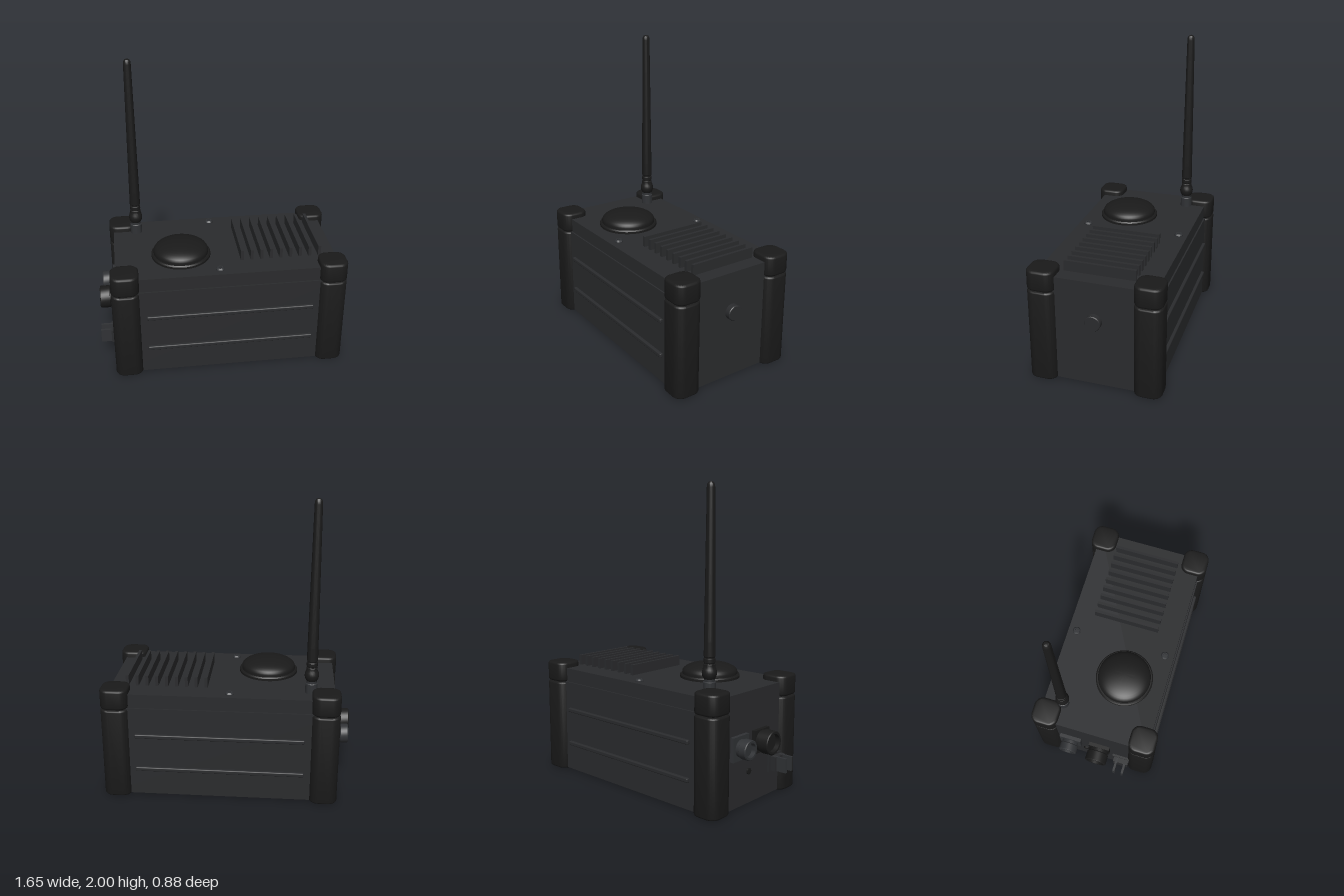
import * as THREE from 'three';
import { toCreasedNormals } from 'three/addons/utils/BufferGeometryUtils.js';
import { RoundedBoxGeometry } from 'three/addons/geometries/RoundedBoxGeometry.js';

const material = (color) => new THREE.MeshStandardMaterial({ color });

export function createModel() {
  const model = new THREE.Group();
  const shell = material(0x2a2b2d), rubber = material(0x1a1a1a), metal = material(0x303235);

  function add(name, geometry, mat, x, y, z, parent = model) {
    const mesh = new THREE.Mesh(geometry, mat);
    mesh.name = name;
    mesh.position.set(x, y, z);
    parent.add(mesh);
    return mesh;
  }
  const box = (w, h, d) => new THREE.BoxGeometry(w, h, d);
  const lathe = (points, segments = 40) => toCreasedNormals(
    new THREE.LatheGeometry(points.map(([r, y]) => new THREE.Vector2(r, y)), segments), 0.6);

  // Upright prism with rounded corners and softened ends, standing on y = 0
  function roundedPost(size, height, radius, bevel) {
    const h = size / 2 - bevel, r = radius - bevel;
    const shape = new THREE.Shape();
    shape.absarc(h - r, h - r, r, 0, Math.PI / 2);
    shape.absarc(r - h, h - r, r, Math.PI / 2, Math.PI);
    shape.absarc(r - h, r - h, r, Math.PI, Math.PI * 1.5);
    shape.absarc(h - r, r - h, r, Math.PI * 1.5, Math.PI * 2);
    shape.closePath();
    const geometry = new THREE.ExtrudeGeometry(shape, {
      depth: height - 2 * bevel, bevelThickness: bevel, bevelSize: bevel, bevelSegments: 3, curveSegments: 8,
    });
    geometry.rotateX(-Math.PI / 2).translate(0, bevel, 0);
    return toCreasedNormals(geometry, 0.6);
  }

  // Case and lid
  add('caseBody', box(1.49, 0.63, 0.8), shell, 0.035, 0.325, 0);
  add('caseLid', box(1.49, 0.1, 0.78), shell, 0.035, 0.685, 0);

  // Corner bumpers with separate caps
  const post = roundedPost(0.185, 0.63, 0.06, 0.012);
  const cap = roundedPost(0.185, 0.135, 0.06, 0.015);
  for (const x of [-0.649, 0.732]) {
    for (const z of [-0.347, 0.347]) {
      add('cornerPost', post, rubber, x, 0.003, z);
      add('cornerCap', cap, rubber, x, 0.638, z);
    }
  }

  // Long ribs on the front and back
  const rib = new RoundedBoxGeometry(1.12, 0.028, 0.04, 2, 0.007);
  for (const z of [-0.4, 0.4]) {
    for (const y of [0.445, 0.203]) add('sideRib', rib, shell, 0.043, y, z);
  }

  // Cooling fins
  for (let i = 0; i < 9; i++) {
    add('coolingFin', box(0.02, 0.08, 0.47), shell, 0.142 + i * 0.066, 0.765, -0.005);
  }

  // Domed receiver with a rim
  const dome = [[0.2, 0], [0.2, 0.018], [0.192, 0.026], [0.184, 0.026], [0.184, 0.04]];
  for (let i = 1; i <= 10; i++) {
    const a = (i / 10) * Math.PI / 2;
    dome.push([0.184 * Math.cos(a), 0.04 + 0.062 * Math.sin(a)]);
  }
  dome[dome.length - 1][0] = 0;
  add('receiverDome', lathe(dome, 48), rubber, -0.26, 0.732, 0.098);

  // Lid screws with recessed sockets
  const screw = [[0.028, 0], [0.028, 0.008], [0.02, 0.018], [0.012, 0.018], [0.012, 0.006], [0, 0.006]];
  for (const z of [-0.33, 0.325]) add('lidScrew', lathe(screw, 20), metal, -0.02, 0.733, z);

  // Antenna: socket, swelling, ringed sleeve and tapered rod
  const antenna = new THREE.Group();
  antenna.name = 'antenna';
  antenna.position.set(-0.55, 0, -0.255);
  model.add(antenna);
  add('antennaSocket', lathe([[0.04, 0.73], [0.04, 0.8], [0.034, 0.805], [0.034, 0.83], [0, 0.83]], 24),
    metal, 0, 0, 0, antenna);
  add('antennaRod', lathe([
    [0, 0.82], [0.034, 0.82], [0.044, 0.838], [0.047, 0.858], [0.043, 0.88], [0.036, 0.893],
    [0.036, 0.91], [0.033, 0.913], [0.033, 0.92], [0.036, 0.923], [0.036, 0.945], [0.033, 0.948],
    [0.033, 0.956], [0.036, 0.96], [0.035, 1.05], [0.025, 1.965], [0.023, 1.982], [0.015, 1.995], [0, 2],
  ], 24), rubber, 0, 0, 0, antenna);

  // Button on the left end
  const turned = (points, direction) => lathe(points, 32).rotateZ(-direction * Math.PI / 2);
  add('endButton', turned([[0.052, 0], [0.052, 0.036], [0.048, 0.041], [0, 0.041]], 1), shell, 0.778, 0.47, 0);

  // Round connectors on the right end, each with a square flange
  function connector(z, radius, length, flange, mat) {
    const group = new THREE.Group();
    group.name = 'roundConnector';
    group.position.set(-0.71, 0.4, z);
    model.add(group);
    add('connectorFlange', box(0.03, flange, flange), mat, -0.01, 0, 0, group);
    add('connectorBarrel', turned([
      [radius * 0.9, 0], [radius * 0.9, 0.045], [radius, 0.05], [radius, length - 0.005],
      [radius - 0.005, length], [radius - 0.018, length], [radius - 0.018, length - 0.03], [0, length - 0.03],
    ], -1), mat, 0, 0, 0, group);
  }
  connector(-0.167, 0.064, 0.1, 0.155, metal);
  connector(0.048, 0.077, 0.117, 0.15, rubber);

  // Switch block with two guard plates
  add('switchBlock', box(0.055, 0.095, 0.11), shell, -0.733, 0.217, 0.215);
  add('switchFlange', box(0.02, 0.115, 0.13), shell, -0.715, 0.217, 0.21);
  for (const z of [0.184, 0.248]) add('guardPlate', box(0.1, 0.095, 0.016), metal, -0.78, 0.217, z);

  // Small indicator under the connectors
  add('indicator', turned([[0.02, 0], [0.02, 0.01], [0, 0.012]], -1), rubber, -0.709, 0.22, -0.06);

  return model;
}
